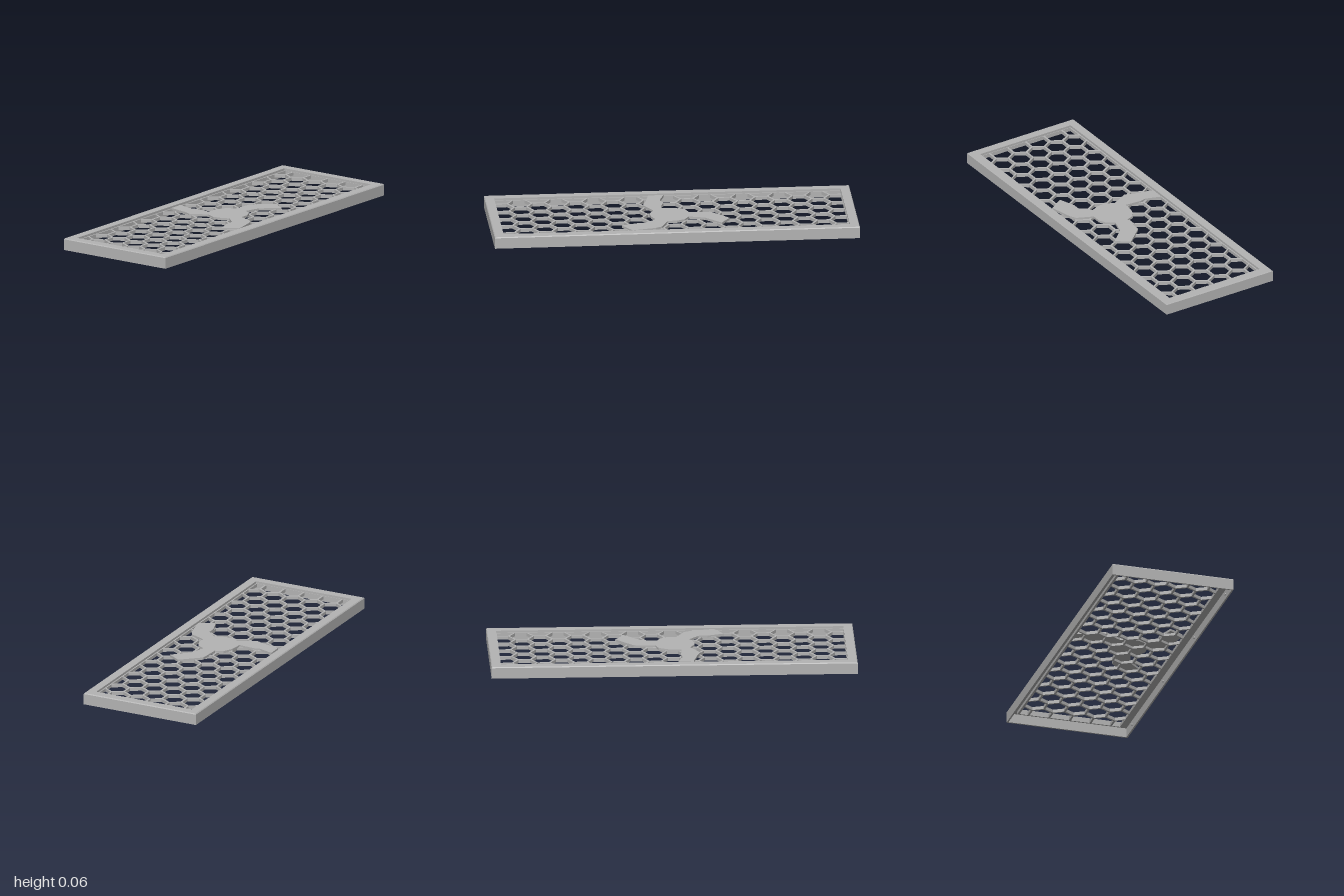
import * as THREE from 'three';

const HALF_X = 0.345, HALF_Z = 1;
const grey = new THREE.MeshStandardMaterial({ color: 0xb3b3b3 });
grey.name = 'grey';

function addMesh(parent, name, geometry) {
  const mesh = new THREE.Mesh(geometry, grey);
  mesh.name = name;
  parent.add(mesh);
  return mesh;
}

// Mitred rectangular frame: a closed [inset, height] profile swept round four corners
function frameGeometry(profile) {
  const positions = [], index = [], n = profile.length;
  const corners = [[1, 1], [1, -1], [-1, -1], [-1, 1]];
  for (const [sx, sz] of corners) {
    for (const [inset, y] of profile) positions.push(sx * (HALF_X - inset), y, sz * (HALF_Z - inset));
  }
  for (let c = 0; c < 4; c++) {
    for (let p = 0; p < n; p++) {
      const d = (c + 1) % 4, q = (p + 1) % n;
      const a = c * n + p, b = d * n + p, e = d * n + q, f = c * n + q;
      index.push(a, b, e, a, e, f);
    }
  }
  let geometry = new THREE.BufferGeometry();
  geometry.setAttribute('position', new THREE.Float32BufferAttribute(positions, 3));
  geometry.setIndex(index);
  geometry = geometry.toNonIndexed();
  geometry.computeVertexNormals();
  return geometry;
}

// Flat plate from a plan outline, lying between two heights
function plateGeometry(shape, bottom, top) {
  const geometry = new THREE.ExtrudeGeometry(shape, { depth: top - bottom, bevelEnabled: false });
  geometry.rotateX(-Math.PI / 2);
  geometry.translate(0, bottom, 0);
  return geometry;
}

// Rectangle pierced by hexagons that are trimmed at the frame opening
function honeycombShape() {
  const pitch = 0.1175, wall = 0.011, limX = 0.286, limZ = 0.945;
  const w = 0.298, h = 0.953;
  const shape = new THREE.Shape([[-w, -h], [w, -h], [w, h], [-w, h]].map(([x, y]) => new THREE.Vector2(x, y)));
  const radius = (pitch - wall) / Math.sqrt(3);
  for (let row = -9; row <= 9; row++) {
    const odd = Math.abs(row) % 2;
    const count = odd ? 6 : 5;
    for (let i = 0; i < count; i++) {
      const cx = (i - (count - 1) / 2) * pitch, cz = row * pitch * Math.sqrt(3) / 2;
      const points = [];
      for (let k = 0; k < 6; k++) {
        const angle = Math.PI / 2 - k * Math.PI / 3;
        const p = new THREE.Vector2(
          THREE.MathUtils.clamp(cx + radius * Math.cos(angle), -limX, limX),
          THREE.MathUtils.clamp(cz + radius * Math.sin(angle), -limZ, limZ));
        if (!points.some((o) => o.distanceTo(p) < 1e-4)) points.push(p);
      }
      shape.holes.push(new THREE.Path(points));
    }
  }
  return shape;
}

export function createModel() {
  const model = new THREE.Group();
  model.name = 'grillePanel';

  // Hollow frame: thin skirt with an inward flange along the top
  addMesh(model, 'frame', frameGeometry([
    [0, 0], [0, 0.06], [0.004, 0.065], [0.052, 0.065], [0.052, 0.053], [0.009, 0.053], [0.009, 0],
  ]));

  // Honeycomb mesh under the flange
  addMesh(model, 'honeycomb', plateGeometry(honeycombShape(), 0.035, 0.053));

  // Three-armed emblem plate, outline as [x, z]
  const outline = [
    [0.125, -0.305], [0.2, -0.255], [0.11, -0.17], [0.085, -0.085], [0.125, -0.06], [0.147, -0.015],
    [0.147, 0.037], [0.235, 0.075], [0.255, 0.11], [0.285, 0.24], [0.2, 0.292], [0.168, 0.2],
    [0.168, 0.153], [0.112, 0.1], [0.07, 0.12], [0.02, 0.125], [-0.03, 0.1], [-0.125, 0.15],
    [-0.17, 0.132], [-0.277, 0.107], [-0.28, 0.022], [-0.195, 0.05], [-0.16, 0.042], [-0.07, 0.05],
    [-0.063, -0.02], [-0.035, -0.075], [0.01, -0.09], [0.018, -0.21],
  ];
  const emblem = new THREE.Shape(outline.map(([x, z]) => new THREE.Vector2(x, -z)));
  addMesh(model, 'centrePlate', plateGeometry(emblem, 0.049, 0.062));

  // Small studs inside the long walls
  for (const side of [-1, 1]) {
    for (const z of [-0.88, -0.293, 0.293, 0.88]) {
      const stud = addMesh(model, 'stud', new THREE.CylinderGeometry(0.007, 0.007, 0.008, 12));
      stud.rotation.z = Math.PI / 2;
      stud.position.set(side * (HALF_X - 0.011), 0.025, z);
    }
  }
  return model;
}
